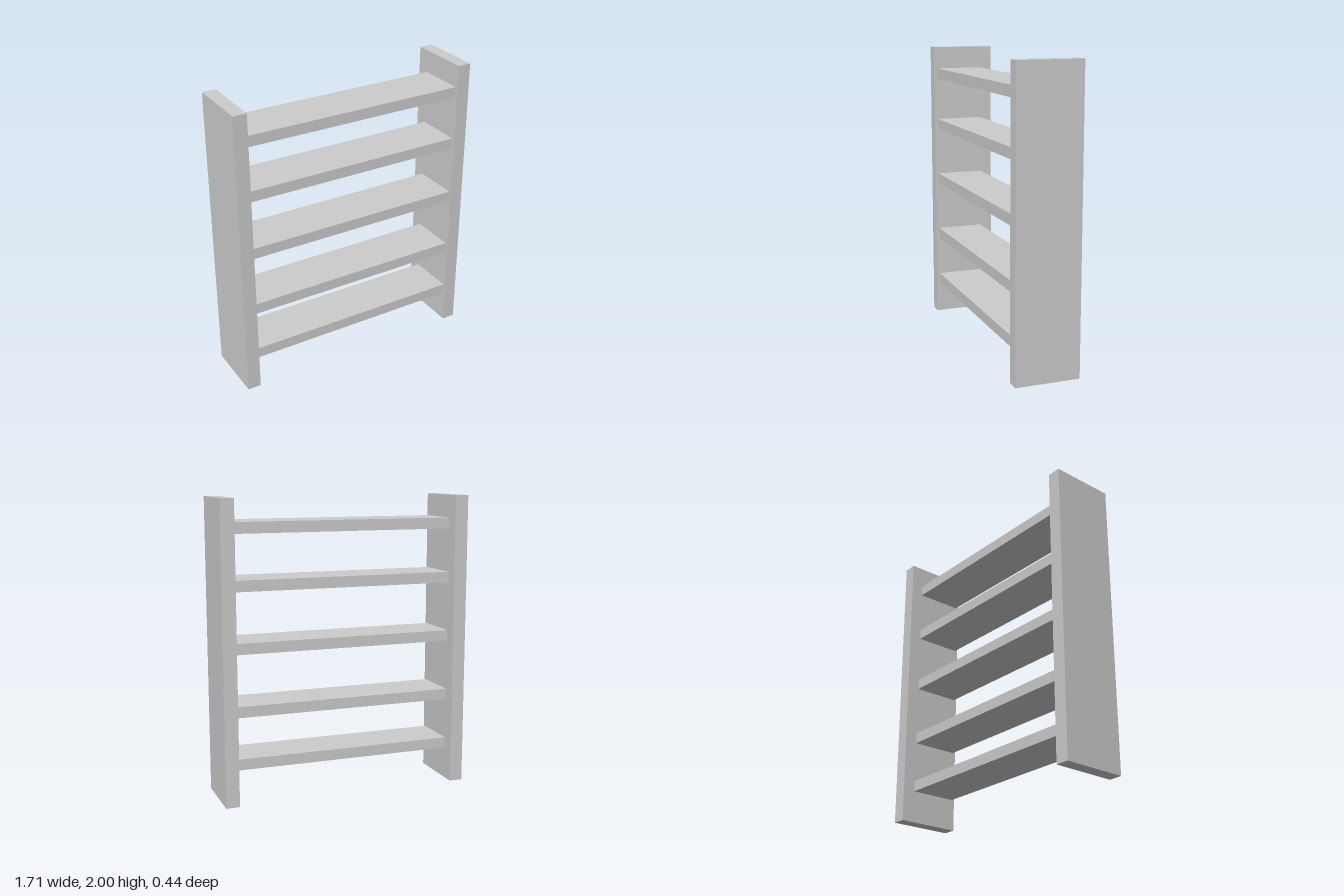
import * as THREE from 'three';

export function createModel() {
  const group = new THREE.Group();
  const material = new THREE.MeshStandardMaterial({ color: 0xcccccc, flatShading: true });

  const addBoard = (name, size, position) => {
    const board = new THREE.Mesh(new THREE.BoxGeometry(...size), material);
    board.name = name;
    board.position.set(...position);
    group.add(board);
  };

  // Upright side panels
  for (const side of [1, -1]) {
    addBoard(side > 0 ? 'leftPanel' : 'rightPanel', [0.092, 2, 0.436], [side * 0.81, 1, 0]);
  }

  // Shelves, set toward the front and spaced unevenly
  [0.257, 0.612, 1.031, 1.439, 1.81].forEach((y, i) => {
    addBoard(`shelf${i + 1}`, [1.528, 0.074, 0.328], [0, y, 0.034]);
  });

  return group;
}
